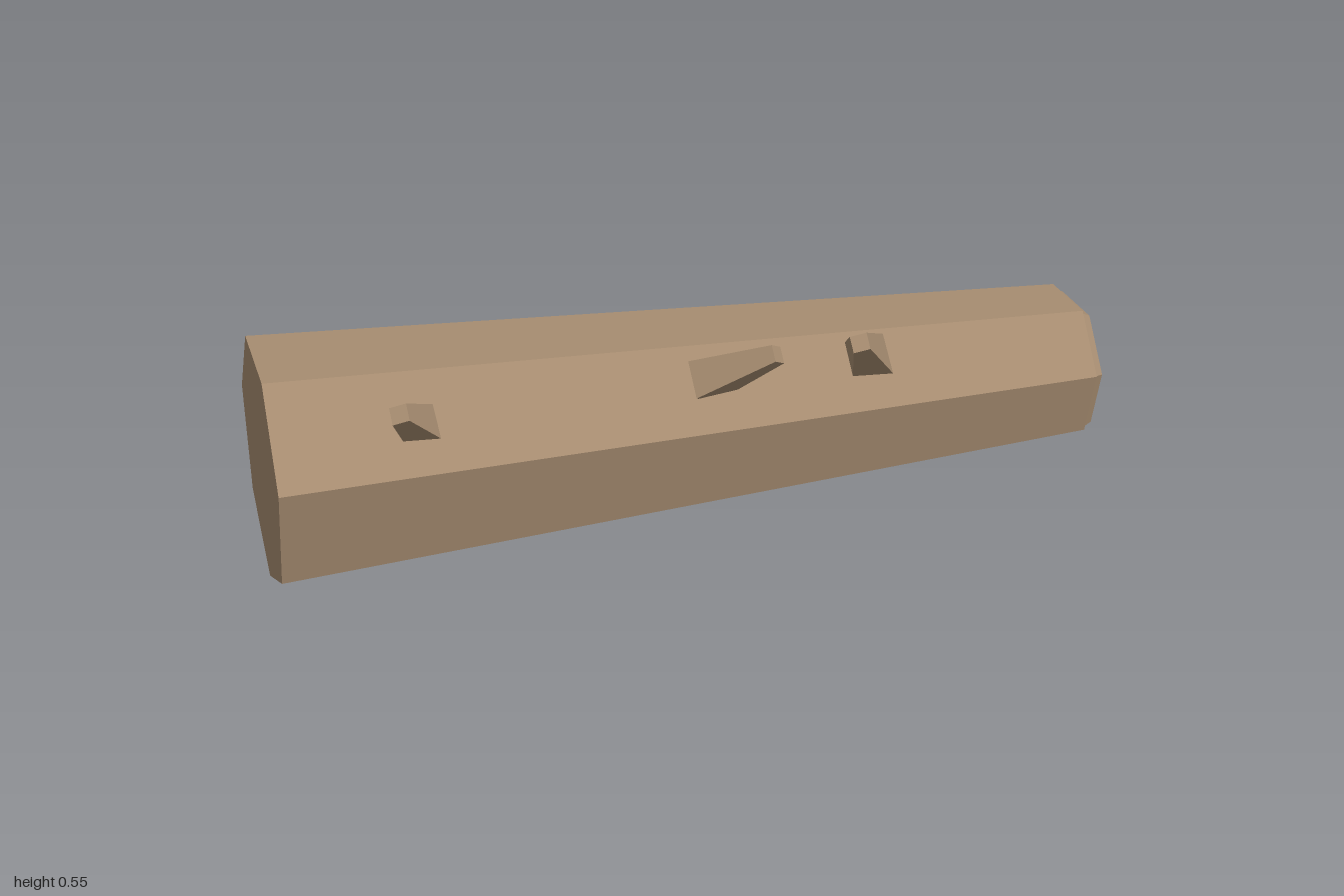
import * as THREE from 'three';

const SIDES = 7;

// One heptagon ring, tilted slightly so it stays square to the leaning trunk axis
function ring(x, y, z, r) {
  const points = [];
  for (let j = 0; j < SIDES; j++) {
    const a = (j / SIDES) * Math.PI * 2;
    const dy = -r * Math.cos(a), dz = -r * Math.sin(a);
    points.push([x - 0.03 * dz + 0.012 * dy, y + dy, z + dz]);
  }
  return points;
}

// Skin the rings into side faces and close both ends
function skin(rings) {
  const pos = [];
  const tri = (a, b, c) => pos.push(...a, ...b, ...c);
  const last = rings[rings.length - 1];
  for (let j = 0; j < SIDES; j++) {
    const k = (j + 1) % SIDES;
    for (let i = 0; i < rings.length - 1; i++) {
      const p = rings[i], q = rings[i + 1];
      tri(p[j], p[k], q[j]);
      tri(p[k], q[k], q[j]);
    }
    if (j > 0 && k > 0) {
      tri(rings[0][0], rings[0][k], rings[0][j]);
      tri(last[0], last[j], last[k]);
    }
  }
  const geo = new THREE.BufferGeometry();
  geo.setAttribute('position', new THREE.Float32BufferAttribute(pos, 3));
  geo.computeVertexNormals();
  return geo;
}

// Tapered square stub from the trunk surface to its tip, rooted a little below the bark
function stub(base, tip, baseSide, tipSide, material) {
  const start = new THREE.Vector3(...base), end = new THREE.Vector3(...tip);
  const axis = end.clone().sub(start);
  const length = axis.length();
  axis.normalize();
  const root = 0.035;
  const rootSide = baseSide + (baseSide - tipSide) * root / length;
  const geo = new THREE.CylinderGeometry(tipSide * Math.SQRT1_2, rootSide * Math.SQRT1_2, length + root, 4);
  geo.rotateY(Math.PI / 4);
  const across = new THREE.Vector3(1, 0, 0).addScaledVector(axis, -axis.x).normalize();
  const side = new THREE.Vector3().crossVectors(across, axis);
  const mesh = new THREE.Mesh(geo, material);
  mesh.quaternion.setFromRotationMatrix(new THREE.Matrix4().makeBasis(across, axis, side));
  mesh.position.copy(end).addScaledVector(axis, -(length + root) / 2);
  return mesh;
}

export function createModel() {
  const group = new THREE.Group();
  const wood = new THREE.MeshStandardMaterial({ color: 0xa68c70, flatShading: true });
  wood.name = 'wood brown';

  // Tapering trunk with a small step and bevelled cut at the thin end
  const trunk = new THREE.Mesh(skin([
    ring(-0.991, 0.291, -0.005, 0.289),
    ring(0.97, 0.267, 0.0555, 0.189),
    ring(0.97, 0.266, 0.0555, 0.181),
    ring(0.995, 0.264, 0.0545, 0.169),
  ]), wood);
  trunk.name = 'trunk';
  group.add(trunk);

  // Broken branch stubs along the upper front facet
  const stubs = [
    [[-0.675, 0.438, 0.197], [-0.728, 0.507, 0.272], 0.072],
    [[0.02, 0.432, 0.178], [0.135, 0.513, 0.27], 0.08],
    [[0.395, 0.422, 0.172], [0.332, 0.512, 0.274], 0.088],
  ];
  stubs.forEach(([base, tip, side], i) => {
    const branch = stub(base, tip, side, 0.039, wood);
    branch.name = 'branchStub' + (i + 1);
    group.add(branch);
  });
  return group;
}
